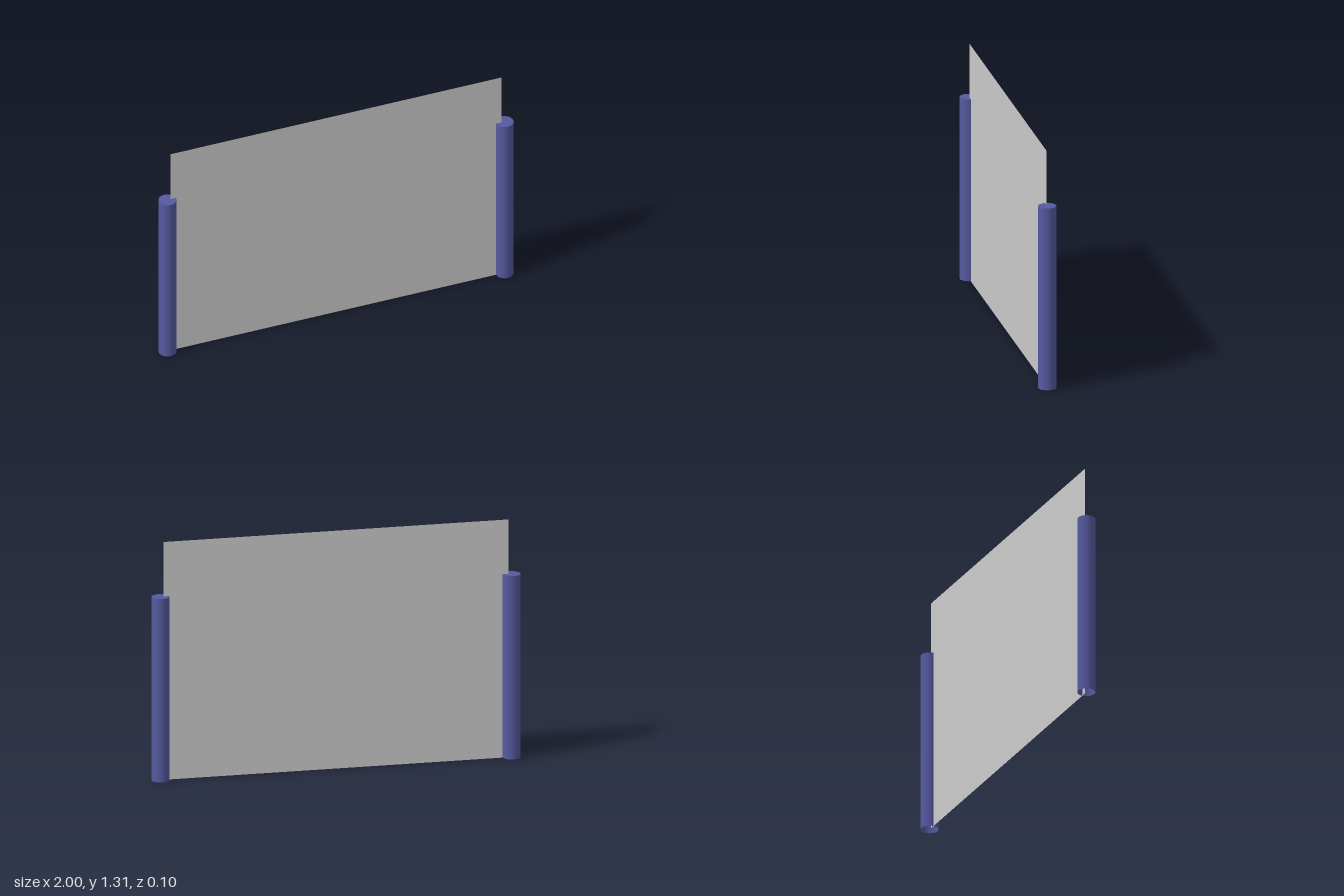
import * as THREE from 'three';

const POST_RADIUS = 0.048;
const POST_HEIGHT = 1.01;
const PANEL_WIDTH = 1.87;
const PANEL_HEIGHT = 1.31;

// Round post: smooth tube, closed on top and open underneath
function createPost(name, x, material) {
  const post = new THREE.Group();
  post.name = name;

  const tube = new THREE.Mesh(
    new THREE.CylinderGeometry(POST_RADIUS, POST_RADIUS, POST_HEIGHT, 32, 1, true), material);
  tube.name = 'postTube';
  tube.position.y = POST_HEIGHT / 2;

  const cap = new THREE.Mesh(new THREE.CircleGeometry(POST_RADIUS, 32), material);
  cap.name = 'postCap';
  cap.rotation.x = -Math.PI / 2;
  cap.position.y = POST_HEIGHT;

  post.add(tube, cap);
  post.position.x = x;
  return post;
}

export function createModel() {
  const model = new THREE.Group();
  model.name = 'panelBetweenPosts';

  const blue = new THREE.MeshStandardMaterial({ color: 0x555a9f, side: THREE.DoubleSide });
  const grey = new THREE.MeshStandardMaterial({ color: 0xcccccc, side: THREE.DoubleSide });

  // Thin upright sheet whose side edges sit inside the posts
  const panel = new THREE.Mesh(new THREE.PlaneGeometry(PANEL_WIDTH, PANEL_HEIGHT), grey);
  panel.name = 'panel';
  panel.position.y = PANEL_HEIGHT / 2;
  model.add(panel);

  // Mirrored pair of posts
  for (const [name, side] of [['leftPost', 1], ['rightPost', -1]]) {
    model.add(createPost(name, side * (1 - POST_RADIUS), blue));
  }

  return model;
}
